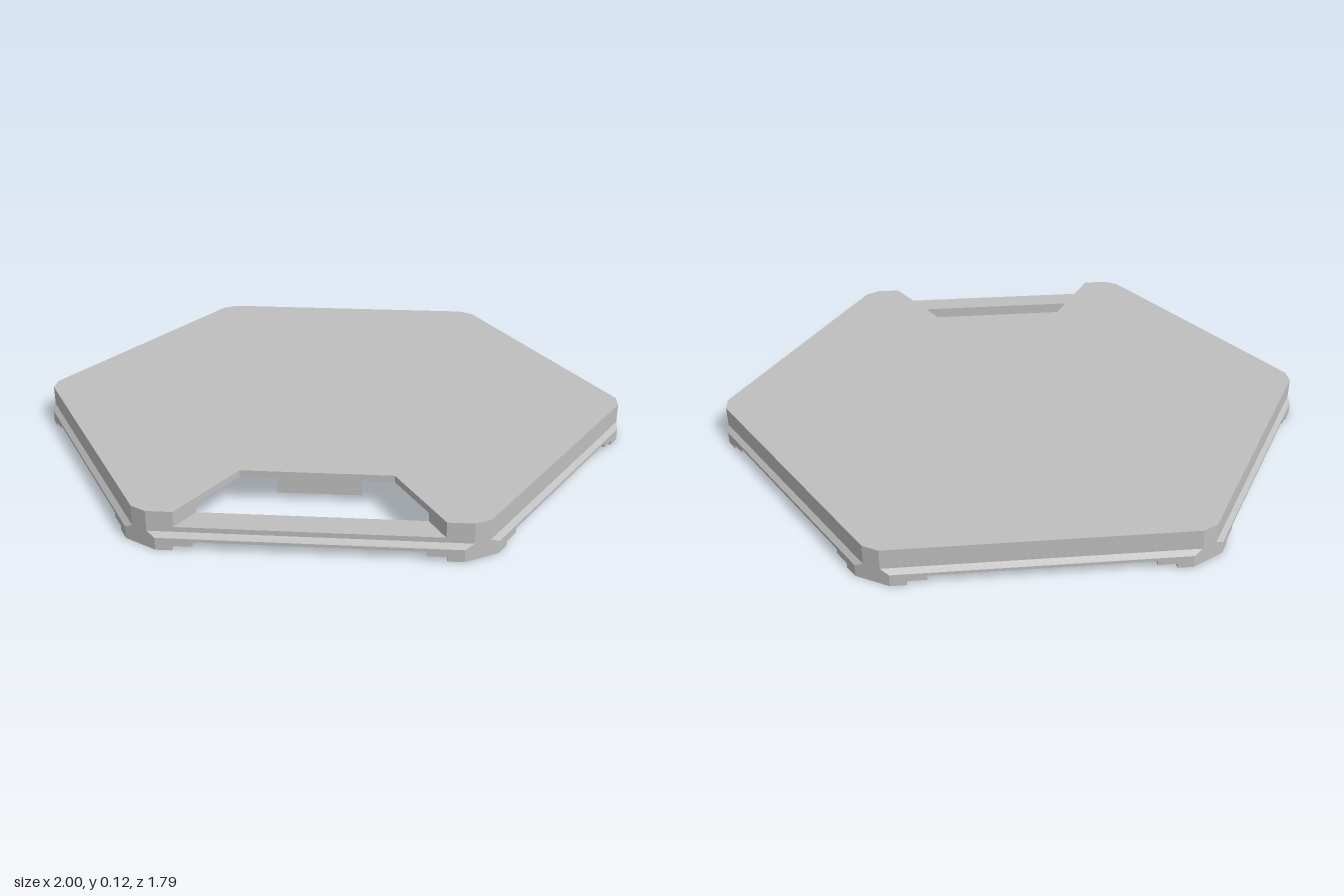
import * as THREE from 'three';

const grey = new THREE.MeshStandardMaterial({ color: 0xbfbfbf });
grey.name = 'grey plastic';

const UPPER = 0.88, LOWER = 0.895, INNER = 0.79, LIP = 0.835;
const circum = (a) => (a * 2) / Math.sqrt(3);

// Hexagon of a given apothem with its corners cut at a given radius: 12 [x, z] points
function hexPoints(apothem, clip = circum(apothem)) {
  const half = (circum(apothem) - clip) * Math.sqrt(3);
  const points = [];
  for (let k = 0; k < 6; k++) {
    const c = Math.cos((k * Math.PI) / 3), s = Math.sin((k * Math.PI) / 3);
    for (const h of [-half, half]) points.push([c * clip - s * h, s * clip + c * h]);
  }
  return points;
}

// Flat slab of an [x, z] outline between two heights
function slab(name, points, y0, y1) {
  const shape = new THREE.Shape(points.map(([x, z]) => new THREE.Vector2(x, z)));
  const geo = new THREE.ExtrudeGeometry(shape, { depth: y1 - y0, bevelEnabled: false });
  geo.rotateX(Math.PI / 2).translate(0, y1, 0);
  const mesh = new THREE.Mesh(geo, grey);
  mesh.name = name;
  return mesh;
}

// Ring swept through a closed cross-section of 12-point loops, outside upwards then inside down
function ring(name, section) {
  const loops = section.map(([apothem, clip, y]) =>
    hexPoints(apothem, clip).map(([x, z]) => [x, y, z]));
  const pos = [];
  loops.forEach((low, i) => {
    const high = loops[(i + 1) % loops.length];
    for (let j = 0; j < 12; j++) {
      const n = (j + 1) % 12;
      pos.push(...low[j], ...high[j], ...high[n], ...low[j], ...high[n], ...low[n]);
    }
  });
  const geo = new THREE.BufferGeometry();
  geo.setAttribute('position', new THREE.Float32BufferAttribute(pos, 3));
  geo.computeVertexNormals();
  const mesh = new THREE.Mesh(geo, grey);
  mesh.name = name;
  return mesh;
}

function box(name, x0, x1, y0, y1, z0, z1) {
  const mesh = new THREE.Mesh(new THREE.BoxGeometry(x1 - x0, y1 - y0, z1 - z0), grey);
  mesh.position.set((x0 + x1) / 2, (y0 + y1) / 2, (z0 + z1) / 2);
  mesh.name = name;
  return mesh;
}

export function createModel() {
  const model = new THREE.Group();
  model.name = 'hexagonalTile';

  // Loops starting left of the front edge, passing round the back to its right end
  const around = (pts) => {
    const out = [];
    for (let i = 0; i < 12; i++) out.push(pts[(3 - i + 12) % 12]);
    return out;
  };
  const outer = around(hexPoints(UPPER, 1));
  const inner = around(hexPoints(INNER)).filter((p, i) => i % 2 === 0);

  // Top plate with the trapezoid window open to the front
  model.add(slab('topPlate', [[0.395, UPPER], ...outer, [-0.395, UPPER],
    [-0.24, 0.61], [0.24, 0.61]], 0.098, 0.12));

  // Wall under the plate, interrupted at the window
  model.add(slab('upperWall', [[0.395, UPPER], ...outer, [-0.395, UPPER],
    [-0.345, INNER], ...inner.reverse(), [0.345, INNER]], 0.07, 0.098));

  // Continuous rim that flares out to the wider foot
  model.add(ring('rim', [
    [LOWER, 1, 0.03], [LOWER, 1, 0.04], [UPPER, 1, 0.054], [UPPER, 1, 0.07],
    [INNER, undefined, 0.07], [INNER, undefined, 0.03],
  ]));

  // Recessed lip below the rim
  model.add(ring('lowerLip', [
    [LIP, undefined, 0], [LIP, undefined, 0.03],
    [INNER, undefined, 0.03], [INNER, undefined, 0],
  ]));

  // Feet at the corners, built once at +x and turned
  const sidePoint = (t, a) => {
    const c = Math.cos(Math.PI / 6), s = Math.sin(Math.PI / 6);
    return [a * c - t * s, a * s + t * c];
  };
  const edge = [sidePoint(0.1, LIP), sidePoint(0.1, LOWER)];
  const reach = -0.4;
  edge[0] = sidePoint(reach, LIP);
  edge[1] = sidePoint(reach, LOWER);
  const half = (circum(LOWER) - 1) * Math.sqrt(3);
  const footOutline = [edge[0], edge[1], [1, half], [1, -half],
    [edge[1][0], -edge[1][1]], [edge[0][0], -edge[0][1]], [circum(LIP), 0]];

  for (let k = 0; k < 6; k++) {
    const foot = slab('cornerFoot', footOutline, 0, 0.03);
    foot.rotation.y = (k * Math.PI) / 3;
    model.add(foot);

    // Clips along each side
    const side = new THREE.Group();
    side.name = 'sideClips';
    for (const m of [-1, 1]) {
      const span = (a, b) => (m > 0 ? [a, b] : [-b, -a]);
      side.add(box('footStep', ...span(0.34, 0.4), 0.015, 0.03, LIP, LOWER));
      side.add(box('clip', ...span(0.21, 0.31), 0.014, 0.03, LIP, 0.87));
    }
    side.add(box('clipRidge', -0.12, 0.12, 0.024, 0.03, 0.872, 0.885));
    side.rotation.y = (k * Math.PI) / 3;
    model.add(side);
  }

  // Three blocks hanging from the plate
  for (let k = 0; k < 3; k++) {
    const holder = new THREE.Group();
    holder.name = 'hangingBlock';
    holder.add(box('block', -0.135, 0.135, 0, 0.1, 0.275, 0.525));
    holder.rotation.y = (k * 2 * Math.PI) / 3;
    model.add(holder);
  }
  return model;
}
